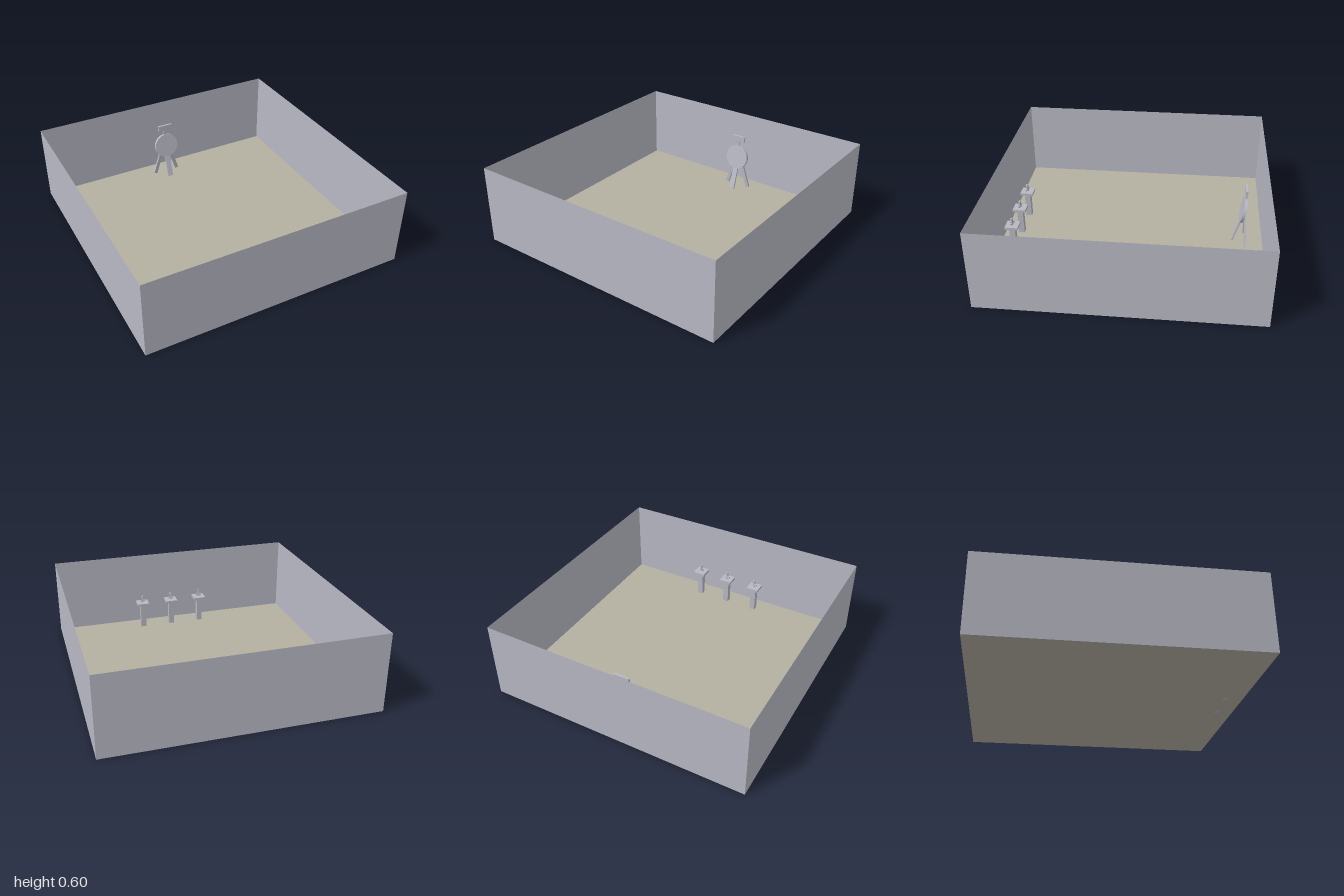
import * as THREE from 'three';

const wallGrey = new THREE.MeshStandardMaterial({ color: 0xb8b8c4, side: THREE.DoubleSide });
const floorSand = new THREE.MeshStandardMaterial({ color: 0xb4b0a2, side: THREE.DoubleSide });

function add(parent, name, geometry, x, y, z, material = wallGrey) {
  const mesh = new THREE.Mesh(geometry, material);
  mesh.name = name;
  mesh.position.set(x, y, z);
  parent.add(mesh);
  return mesh;
}

const box = (w, h, d) => new THREE.BoxGeometry(w, h, d);

// Flat plank running from a top point down to a foot
function plank(parent, name, top, foot, width, depth) {
  const a = new THREE.Vector3(...top), b = new THREE.Vector3(...foot);
  const mid = a.clone().add(b).multiplyScalar(0.5);
  const mesh = add(parent, name, box(width, a.distanceTo(b), depth), mid.x, mid.y, mid.z);
  mesh.quaternion.setFromUnitVectors(new THREE.Vector3(0, 1, 0), a.sub(b).normalize());
}

// Round board leaning back on a three-legged stand, with a sign above
function targetStand() {
  const stand = new THREE.Group();
  stand.name = 'targetStand';
  const disc = add(stand, 'disc', new THREE.CylinderGeometry(0.1, 0.1, 0.022, 32).toNonIndexed(), 0, 0.275, -0.838);
  disc.geometry.rotateX(Math.PI / 2 - 0.17);
  plank(stand, 'frontLeg', [0, 0.22, -0.835], [0, 0.005, -0.769], 0.044, 0.014);
  for (const s of [-1, 1]) {
    plank(stand, 'backLeg', [s * 0.03, 0.24, -0.852], [s * 0.1, 0.008, -0.864], 0.028, 0.016);
  }
  add(stand, 'signPost', box(0.02, 0.07, 0.012), 0, 0.39, -0.853);
  add(stand, 'sign', box(0.118, 0.045, 0.016), 0, 0.44, -0.85);
  return stand;
}

// Pedestal with a square top and a small tool resting upright on it
function pedestal(x) {
  const group = new THREE.Group();
  group.name = 'pedestal';
  group.position.set(x, 0, 0.874);
  add(group, 'column', box(0.044, 0.2, 0.044), 0, 0.1, 0);
  add(group, 'plate', box(0.098, 0.02, 0.098), 0, 0.21, 0);
  const tool = new THREE.Group();
  tool.name = 'tool';
  tool.position.set(0, 0.22, 0);
  tool.rotation.y = -0.3;
  add(tool, 'body', box(0.016, 0.055, 0.014), 0.002, 0.028, 0).rotation.z = -0.12;
  add(tool, 'grip', box(0.022, 0.014, 0.01), -0.012, 0.018, 0).rotation.z = 0.3;
  add(tool, 'guard', box(0.012, 0.012, 0.01), 0.014, 0.008, 0.004);
  group.add(tool);
  return group;
}

export function createModel() {
  const model = new THREE.Group();
  model.name = 'shootingRange';

  // Open room: floor and four thin walls
  add(model, 'floor', new THREE.PlaneGeometry(2, 2).rotateX(-Math.PI / 2), 0, 0, 0, floorSand);
  ['frontWall', 'leftWall', 'backWall', 'rightWall'].forEach((name, i) => {
    const a = i * Math.PI / 2;
    add(model, name, new THREE.PlaneGeometry(2, 0.6), Math.sin(a), 0.3, Math.cos(a)).rotation.y = a;
  });

  model.add(targetStand());
  for (const x of [-0.206, 0.047, 0.297]) model.add(pedestal(x));
  return model;
}
